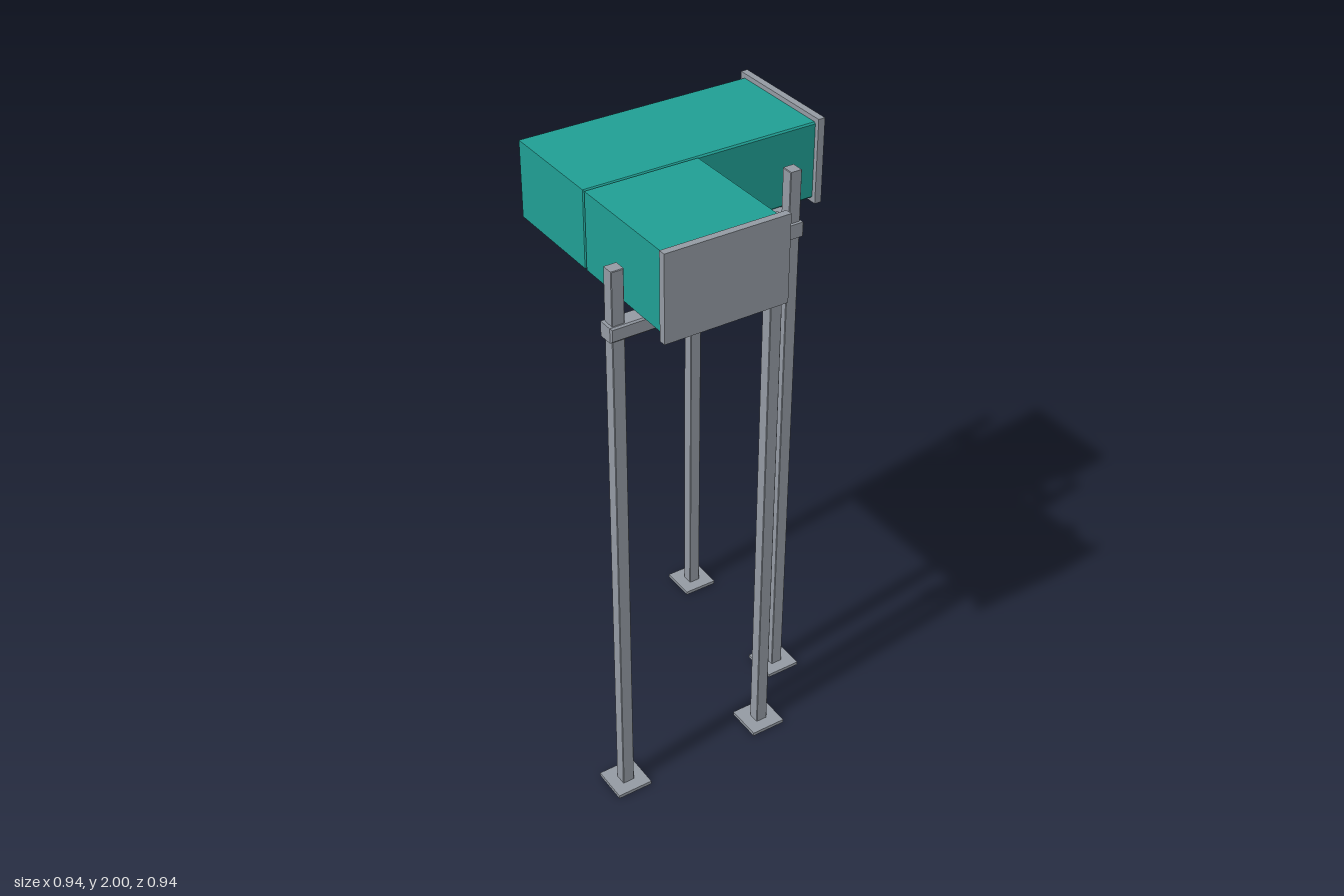
import * as THREE from 'three';

const teal = new THREE.MeshStandardMaterial({ name: 'teal duct', color: 0x209f94 });
const steel = new THREE.MeshStandardMaterial({ name: 'grey steel', color: 0x949aa3 });

// Box given by its min and max corners, with an optional chamfer on every edge
function box(name, material, min, max, chamfer = 0) {
  const [w, h, d] = max.map((v, i) => v - min[i]);
  let geometry;
  if (chamfer > 0) {
    const x = w / 2 - chamfer, y = h / 2 - chamfer;
    const outline = new THREE.Shape([
      new THREE.Vector2(-x, -y), new THREE.Vector2(x, -y),
      new THREE.Vector2(x, y), new THREE.Vector2(-x, y),
    ]);
    geometry = new THREE.ExtrudeGeometry(outline, {
      depth: d - 2 * chamfer, bevelEnabled: true, bevelSegments: 1,
      bevelSize: chamfer, bevelThickness: chamfer,
    });
    geometry.translate(0, 0, chamfer - d / 2);
  } else {
    geometry = new THREE.BoxGeometry(w, h, d);
  }
  const mesh = new THREE.Mesh(geometry, material);
  mesh.name = name;
  mesh.position.set(...min.map((v, i) => (v + max[i]) / 2));
  return mesh;
}

// Two posts on foot plates joined by a cross beam, built along x
function supportFrame(name) {
  const frame = new THREE.Group();
  frame.name = name;
  for (const x of [-0.26, 0.26]) {
    frame.add(box('footPlate', steel, [x - 0.06, 0, -0.06], [x + 0.06, 0.012, 0.06]));
    frame.add(box('post', steel, [x - 0.02, 0.01, -0.02], [x + 0.02, 1.905, 0.02], 0.002));
  }
  frame.add(box('crossBeam', steel, [-0.29, 1.69, -0.029], [0.29, 1.737, 0.029], 0.005));
  return frame;
}

export function createModel() {
  const model = new THREE.Group();
  model.name = 'ductElbowOnStands';

  // Two duct runs meeting in an L
  model.add(box('longDuct', teal, [-0.335, 1.738, -0.335], [0.46, 1.985, 0.035], 0.005));
  model.add(box('shortDuct', teal, [-0.335, 1.738, 0.035], [0.035, 1.985, 0.46], 0.005));

  // End flanges
  model.add(box('sideFlange', steel, [0.447, 1.725, -0.35], [0.47, 2, 0.05]));
  model.add(box('frontFlange', steel, [-0.35, 1.725, 0.447], [0.05, 2, 0.47]));

  // Stand under each duct run
  const front = supportFrame('frontSupport');
  front.position.set(-0.15, 0, 0.315);
  const side = supportFrame('sideSupport');
  side.rotation.y = Math.PI / 2;
  side.position.set(0.315, 0, -0.15);
  model.add(front, side);
  return model;
}
